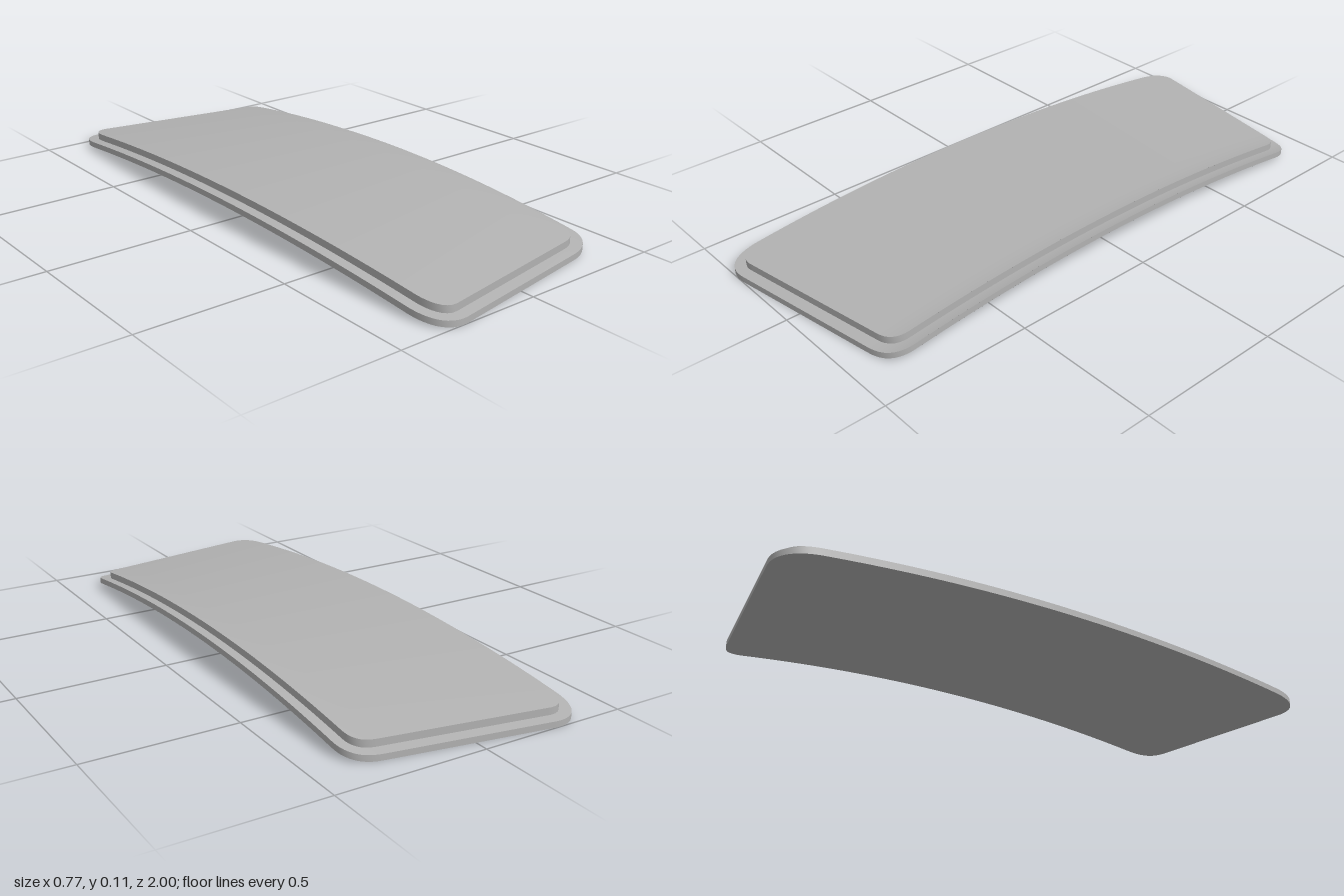
import * as THREE from 'three';

const ROWS = 40;

// Arched surface: ends drop along the slanted edges, right rim turns up a little
function height(x, z) {
  const end = 0.955 - 0.17 * x;
  const lift = x > 0.25 ? 0.011 * Math.pow((x - 0.25) / 0.135, 3) : 0;
  return 0.063 * (1 - (z / end) ** 2) + lift;
}

function surfaceNormal(x, z, sign) {
  const e = 0.001;
  const dx = (height(x + e, z) - height(x - e, z)) / (2 * e);
  const dz = (height(x, z + e) - height(x, z - e)) / (2 * e);
  return new THREE.Vector3(-dx, 1, -dz).normalize().multiplyScalar(sign);
}

function buildGeometry(positions, index) {
  const g = new THREE.BufferGeometry();
  g.setAttribute('position', new THREE.Float32BufferAttribute(positions, 3));
  g.setIndex(index);
  return g;
}

// Full face: columns across x, each spanning between the mirrored outlines
function makeFace(half, offset, sign) {
  const pos = [], nor = [], index = [];
  half.forEach((p, i) => {
    for (let j = 0; j <= ROWS; j++) {
      const z = p.y * (2 * j / ROWS - 1);
      pos.push(p.x, height(p.x, z) + offset, z);
      nor.push(...surfaceNormal(p.x, z, sign).toArray());
      if (i < half.length - 1 && j < ROWS) {
        const a = i * (ROWS + 1) + j, b = a + 1, c = a + ROWS + 1, d = c + 1;
        if (sign > 0) index.push(a, b, c, b, d, c);
        else index.push(a, c, b, b, c, d);
      }
    }
  });
  const g = buildGeometry(pos, index);
  g.setAttribute('normal', new THREE.Float32BufferAttribute(nor, 3));
  return g;
}

// Vertical rim following the closed outline
function makeRim(half, low, high) {
  const mirrored = half.slice(1, -1).reverse().map(p => new THREE.Vector2(p.x, -p.y));
  const loop = [...half, ...mirrored];
  const pos = [], index = [];
  loop.forEach((p, i) => {
    const y = height(p.x, p.y);
    pos.push(p.x, y + low, p.y, p.x, y + high, p.y);
    const a = 2 * i, b = 2 * ((i + 1) % loop.length);
    index.push(a, b, a + 1, b, b + 1, a + 1);
  });
  const g = buildGeometry(pos, index);
  g.computeVertexNormals();
  return g;
}

function makePlate(name, half, low, high, material) {
  const plate = new THREE.Group();
  plate.name = name;
  const add = (part, geometry) => {
    const mesh = new THREE.Mesh(geometry, material);
    mesh.name = part;
    plate.add(mesh);
  };
  add('topFace', makeFace(half, high, 1));
  add('bottomFace', makeFace(half, low, -1));
  add('rim', makeRim(half, low, high));
  return plate;
}

export function createModel() {
  const grey = new THREE.MeshStandardMaterial({ color: 0xb2b2b2 });
  grey.name = 'grey';

  // Half outlines (x, z), from the left edge round to the right edge
  const outer = new THREE.Path();
  outer.moveTo(-0.385, 0);
  outer.quadraticCurveTo(-0.385, 0.45, -0.37, 0.88);
  outer.bezierCurveTo(-0.365, 0.96, -0.33, 1.008, -0.26, 0.999);
  outer.lineTo(0.29, 0.906);
  outer.quadraticCurveTo(0.385, 0.89, 0.385, 0.81);
  outer.lineTo(0.385, 0);

  const inner = new THREE.Path();
  inner.moveTo(-0.35, 0);
  inner.quadraticCurveTo(-0.35, 0.45, -0.335, 0.87);
  inner.bezierCurveTo(-0.332, 0.93, -0.31, 0.971, -0.265, 0.964);
  inner.lineTo(0.285, 0.87);
  inner.quadraticCurveTo(0.347, 0.86, 0.347, 0.8);
  inner.lineTo(0.347, 0);

  const model = new THREE.Group();
  model.name = 'curvedPanel';
  model.add(makePlate('basePlate', outer.getSpacedPoints(160), 0, 0.02, grey));
  model.add(makePlate('raisedPlate', inner.getSpacedPoints(160), 0.02, 0.044, grey));
  return model;
}
